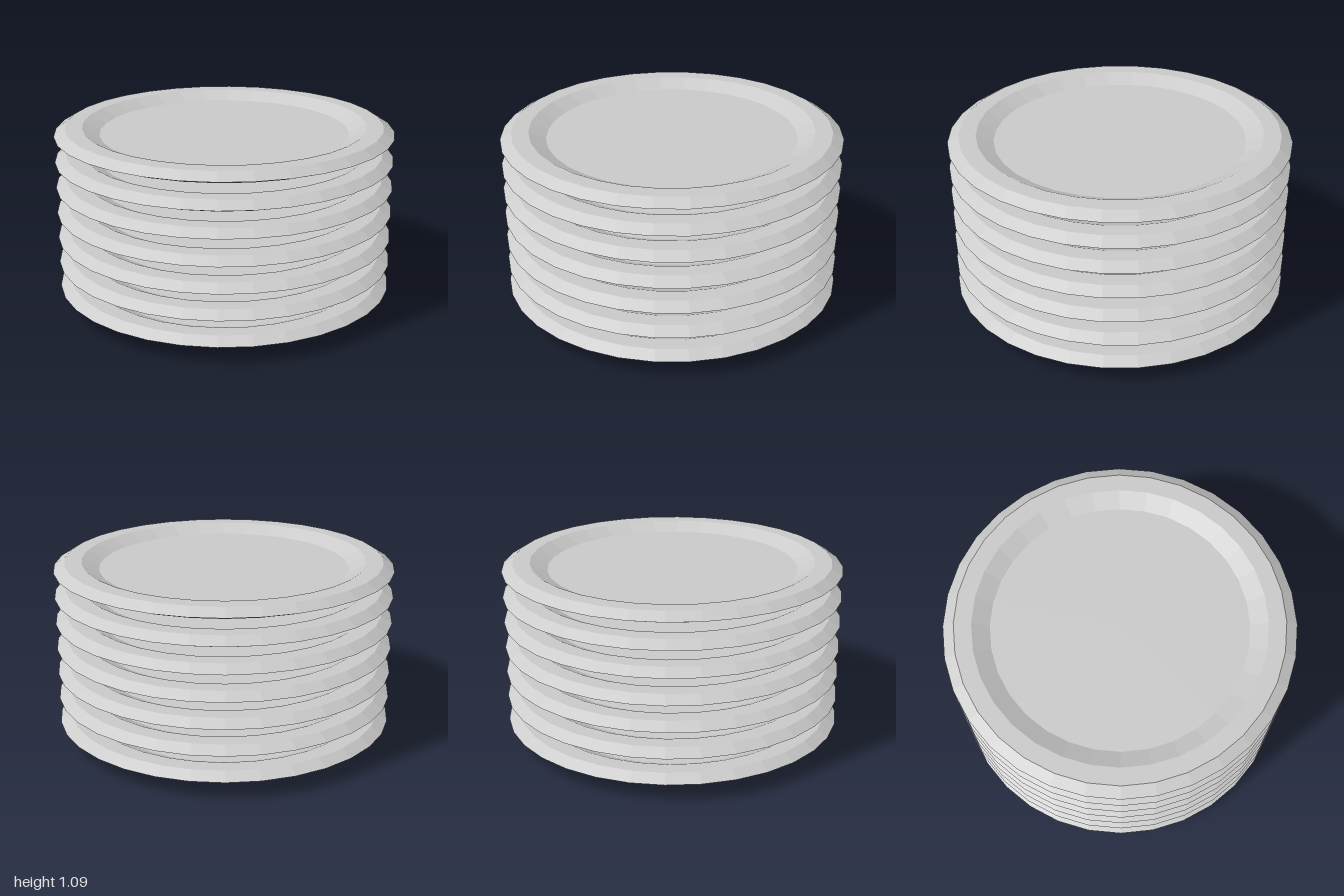
import * as THREE from 'three';

const PLATES = 7;
const SPACING = 0.155;

// Half section of one plate: domed underside, bevelled rim, sunken well
const PROFILE = [
  [0, 0], [0.3, 0.006], [0.52, 0.021], [0.75, 0.05], [0.92, 0.085],
  [1, 0.115],
  [0.935, 0.155], [0.835, 0.155],
  [0.735, 0.108], [0, 0.108],
].map(([r, y]) => new THREE.Vector2(r, y));

export function createModel() {
  const stack = new THREE.Group();
  stack.name = 'plateStack';

  const material = new THREE.MeshStandardMaterial({ color: 0xcccccc, flatShading: true });
  const geometry = new THREE.LatheGeometry(PROFILE, 32);

  // Identical plates, each resting on the rim level of the one below
  for (let i = 0; i < PLATES; i++) {
    const plate = new THREE.Mesh(geometry, material);
    plate.name = `plate${i + 1}`;
    plate.position.y = i * SPACING;
    stack.add(plate);
  }
  return stack;
}
